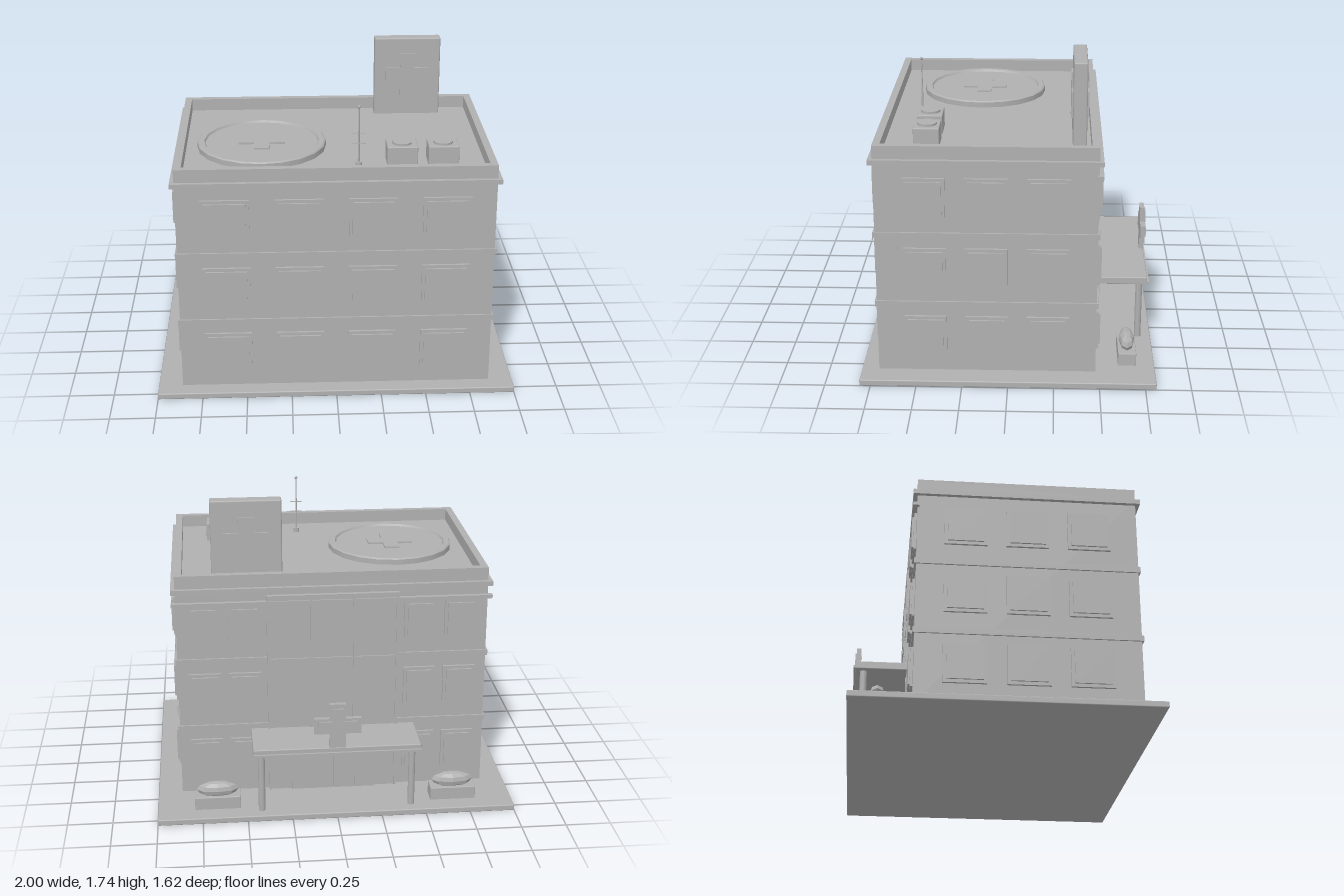
import * as THREE from 'three';
import { RoundedBoxGeometry } from 'three/addons/geometries/RoundedBoxGeometry.js';

export function createModel() {
  const model = new THREE.Group();
  model.name = 'clinicBuilding';
  const grey = new THREE.MeshStandardMaterial({ color: 0xb0b0b0 });
  grey.name = 'plain grey';

  const add = (name, geometry, x = 0, y = 0, z = 0, parent = model) => {
    const mesh = new THREE.Mesh(geometry, grey);
    mesh.name = name;
    mesh.position.set(x, y, z);
    parent.add(mesh);
    return mesh;
  };
  // box given by its limits on each axis; bevel softens the edges
  const box = (name, x0, x1, y0, y1, z0, z1, bevel = 0, parent = model) => {
    const size = [x1 - x0, y1 - y0, z1 - z0];
    const geometry = bevel ? new RoundedBoxGeometry(...size, 1, bevel) : new THREE.BoxGeometry(...size);
    return add(name, geometry, (x0 + x1) / 2, (y0 + y1) / 2, (z0 + z1) / 2, parent);
  };
  const cylinder = (name, r, y0, y1, x, z, sides = 12, rTop = r) =>
    add(name, new THREE.CylinderGeometry(rTop, r, y1 - y0, sides), x, (y0 + y1) / 2, z);
  // plus shape, extruded along z and centred
  const crossGeometry = (size, arm, depth) => {
    const s = size / 2, a = arm / 2;
    const points = [[a, s], [a, a], [s, a], [s, -a], [a, -a], [a, -s],
      [-a, -s], [-a, -a], [-s, -a], [-s, a], [-a, a], [-a, s]];
    const shape = new THREE.Shape(points.map(p => new THREE.Vector2(...p)));
    return new THREE.ExtrudeGeometry(shape, { depth, bevelEnabled: false }).translate(0, 0, -depth / 2);
  };

  const W = 0.865, F = 0.715, B = -0.48, ROOF = 1.27, TOP = 1.34;

  // ground slab and main block
  box('groundSlab', -1, 1, 0, 0.035, -0.81, 0.81, 0.006);
  box('mainBlock', -W, W, 0.03, ROOF, B, F);

  // parapet around the roof
  const outline = new THREE.Shape([[-W, -F], [W, -F], [W, -B], [-W, -B]].map(p => new THREE.Vector2(...p)));
  const t = 0.04;
  outline.holes.push(new THREE.Path([[-W + t, -F + t], [-W + t, -B - t], [W - t, -B - t], [W - t, -F + t]]
    .map(p => new THREE.Vector2(...p))));
  add('parapet', new THREE.ExtrudeGeometry(outline, { depth: TOP - ROOF, bevelEnabled: false })
    .rotateX(-Math.PI / 2), 0, ROOF, 0);

  // floor bands and cornice, as four strips each
  const band = (name, y0, y1, out) => {
    box(name, -W - out, W + out, y0, y1, F - 0.01, F + out);
    box(name, -W - out, W + out, y0, y1, B - out, B + 0.01);
    for (const s of [-1, 1]) {
      const a = s * (W - 0.01), b = s * (W + out);
      box(name, Math.min(a, b), Math.max(a, b), y0, y1, B, F);
    }
  };
  band('floorBand', 0.42, 0.452, 0.01);
  band('floorBand', 0.823, 0.855, 0.01);
  band('cornice', 1.24, 1.267, 0.023);
  box('rearHeadBand', -W - 0.023, W + 0.023, 1.168, 1.188, B - 0.024, B + 0.01);

  // windows: a flat frame with a raised pane
  const windowUnit = (width, x, y, z, angle) => {
    const unit = new THREE.Group();
    unit.name = 'window';
    box('windowFrame', -width / 2, width / 2, -0.11, 0.11, -0.005, 0.014, 0, unit);
    box('windowPane', -width / 2 + 0.018, width / 2 - 0.018, -0.092, 0.092, -0.005, 0.024, 0, unit);
    unit.position.set(x, y, z);
    unit.rotation.y = angle;
    model.add(unit);
  };
  for (const y of [0.255, 0.655, 1.055]) {
    for (const x of [-0.6, -0.2, 0.2, 0.6]) windowUnit(0.262, x, y, F, 0);
    for (const x of [-0.715, -0.49, 0.49, 0.715]) windowUnit(0.18, x, y, B, Math.PI);
    for (const z of [-0.216, 0.117, 0.45]) {
      for (const s of [-1, 1]) windowUnit(0.23, s * W, y, z, s * Math.PI / 2);
    }
  }

  // tall rear glazing with mullions and transoms
  box('rearGlazing', -0.36, 0.36, 0.035, 1.22, B - 0.016, B + 0.01);
  for (const x of [-0.36, -0.12, 0.12, 0.36]) {
    box('mullion', x - 0.007, x + 0.007, 0.035, 1.22, B - 0.026, B);
  }
  for (const y of [0.84, 1.213]) box('transom', -0.36, 0.36, y - 0.007, y + 0.007, B - 0.024, B);

  // entrance doors
  for (const x of [-0.18, -0.06, 0.06, 0.18]) {
    box('entranceDoor', x - 0.056, x + 0.056, 0.04, 0.345, B - 0.037, B);
  }

  // entrance canopy on two columns
  box('canopy', -0.465, 0.465, 0.38, 0.423, -0.778, -0.487, 0.005);
  box('canopyTrim', -0.465, 0.465, 0.383, 0.397, -0.79, -0.77);
  for (const x of [-0.42, 0.42]) cylinder('canopyColumn', 0.019, 0.03, 0.385, x, -0.735);
  add('entranceCross', crossGeometry(0.26, 0.09, 0.025), 0, 0.553, -0.767);
  add('entranceCrossFace', crossGeometry(0.21, 0.06, 0.012), 0, 0.553, -0.782);

  // planters with low bushes
  for (const x of [-0.665, 0.665]) {
    box('planter', x - 0.128, x + 0.128, 0.03, 0.108, -0.708, -0.608, 0.004);
    const bush = add('bush', new THREE.SphereGeometry(1, 8, 6).toNonIndexed(), x, 0.138, -0.658);
    bush.geometry.scale(0.117, 0.046, 0.044);
    bush.geometry.computeVertexNormals();
  }

  // helipad with raised rim and flat cross
  const padX = -0.4, padZ = 0.18;
  cylinder('helipad', 0.345, ROOF - 0.005, 1.295, padX, padZ, 20);
  const rim = [[0.32, 0], [0.363, 0], [0.363, 0.03], [0.355, 0.037], [0.325, 0.037], [0.315, 0.02]];
  for (let i = 0; i < rim.length - 1; i++) {
    const points = [rim[i], rim[i + 1]].map(p => new THREE.Vector2(...p));
    add('helipadRim', new THREE.LatheGeometry(points, 20), padX, ROOF, padZ);
  }
  add('helipadCross', crossGeometry(0.26, 0.085, 0.012).rotateX(-Math.PI / 2), padX, 1.299, padZ);

  // rooftop sign with a cross on each face
  box('roofSign', 0.272, 0.662, ROOF - 0.01, 1.738, -0.415, -0.34, 0.008);
  add('roofSignCross', crossGeometry(0.257, 0.085, 0.097), 0.468, 1.516, -0.3775);

  // air conditioning units
  for (const x of [0.37, 0.596]) {
    box('airUnit', x - 0.084, x + 0.084, ROOF - 0.01, 1.375, 0.375, 0.515, 0.005);
    cylinder('airUnitFan', 0.054, 1.37, 1.387, x, 0.445, 14);
  }

  // antenna
  cylinder('antennaBase', 0.018, ROOF, 1.295, 0.13, 0.513);
  cylinder('antennaMast', 0.006, ROOF, 1.605, 0.13, 0.513, 8, 0.003);
  add('antennaTip', new THREE.SphereGeometry(0.009, 8, 6), 0.13, 1.61, 0.513);
  for (const y of [1.4, 1.46]) {
    box('antennaBar', 0.093, 0.167, y - 0.002, y + 0.002, 0.511, 0.515);
  }

  return model;
}
